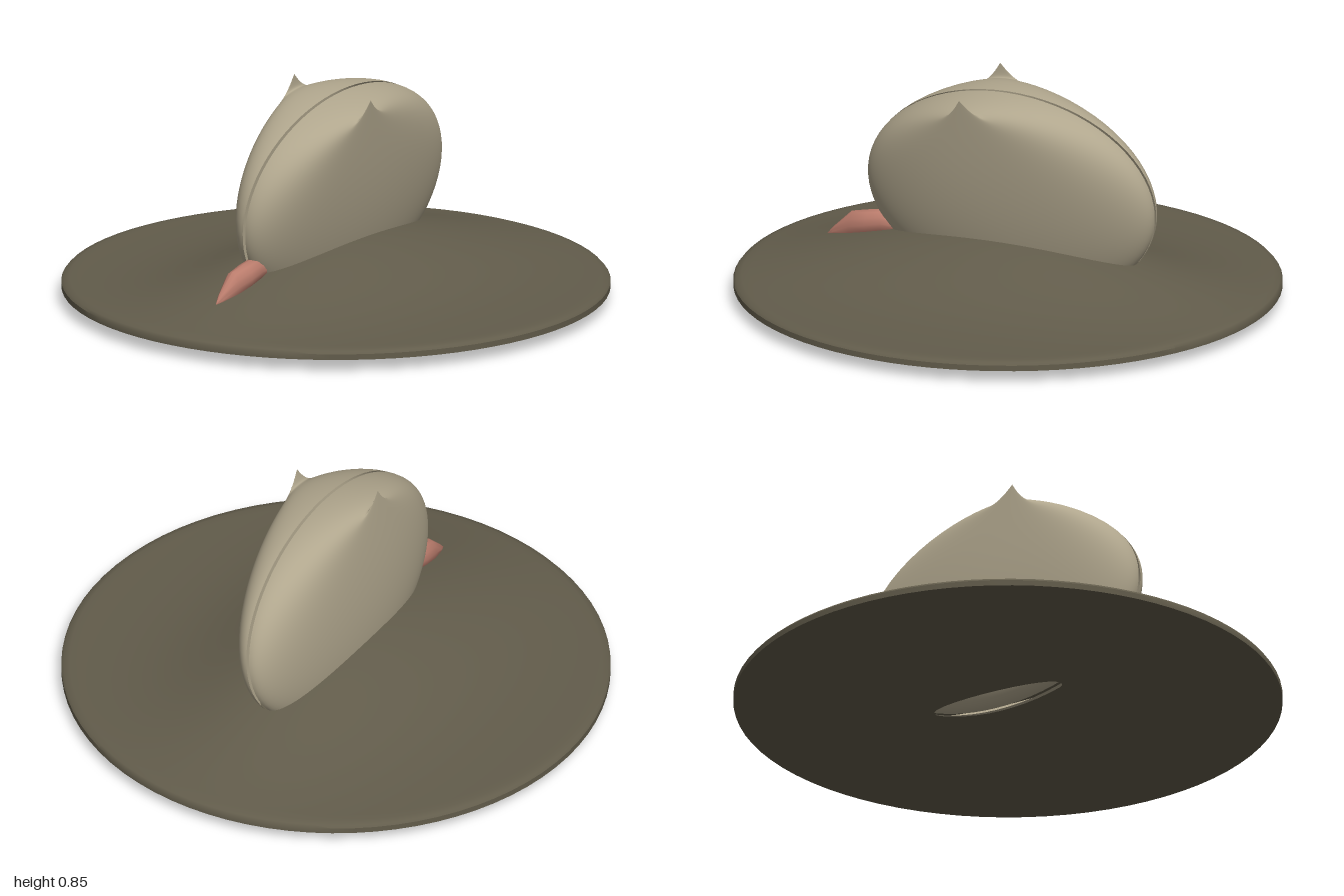
import * as THREE from 'three';
import { toCreasedNormals } from 'three/addons/utils/BufferGeometryUtils.js';

const mat = (name, color, side = THREE.FrontSide) => {
  const m = new THREE.MeshStandardMaterial({ color, side });
  m.name = name;
  return m;
};

// Surface of rings: point(i, j) gives [x, y, z]; each ring closes on itself.
function ringSurface(rows, cols, point, flip) {
  const pos = [], index = [];
  for (let i = 0; i <= rows; i++)
    for (let j = 0; j < cols; j++) pos.push(...point(i / rows, (j / cols) * Math.PI * 2));
  for (let i = 0; i < rows; i++)
    for (let j = 0; j < cols; j++) {
      const k = (j + 1) % cols;
      const a = i * cols + j, b = i * cols + k, c = a + cols, d = b + cols;
      index.push(...(flip ? [a, d, c, a, b, d] : [a, c, d, a, d, b]));
    }
  const g = new THREE.BufferGeometry();
  g.setAttribute('position', new THREE.Float32BufferAttribute(pos, 3));
  g.setIndex(index);
  g.computeVertexNormals();
  return g;
}

// One half of the shell: rings shrink from the oval rim towards a pointed beak.
function valveGeometry(side) {
  const beakY = 0.76, beakZ = 0.09;
  return ringSurface(32, 72, (u, t) => {
    const s = Math.sin(u * Math.PI / 2);
    const rimZ = -0.02 + 0.575 * Math.cos(t), rimY = 0.403 + 0.403 * Math.sin(t);
    const peak = Math.pow(1 - s, 8);
    return [
      side * (0.006 + 0.163 * Math.cos(u * Math.PI / 2) + 0.006 * peak),
      beakY + (rimY - beakY) * s + 0.07 * peak,
      beakZ + (rimZ - beakZ) * s,
    ];
  }, side > 0);
}

// Sand disc with an oval mound rising in the middle.
function sandGeometry() {
  const pts = [[0, 0.045], [1, 0.045], [1, 0.066], [0.992, 0.075], [0.97, 0.079]]
    .map(([x, y]) => new THREE.Vector2(x, y));
  for (let i = 31; i >= 0; i--) pts.push(new THREE.Vector2((i / 32) * 0.97, 0.079));
  const g = new THREE.LatheGeometry(pts, 80);
  const p = g.attributes.position;
  for (let i = 0; i < p.count; i++) {
    if (p.getY(i) < 0.06) continue;
    const x = p.getX(i), z = p.getZ(i), r = Math.hypot(x, z);
    const mound = Math.exp(-(x * x) / 0.157 - (z * z) / 0.56);
    p.setY(i, p.getY(i) + 0.176 * mound * Math.max(0, 1 - r ** 6));
  }
  return toCreasedNormals(g, 0.7);
}

// Fleshy foot: cross-sections [z, centre y, half width, half height].
function footGeometry() {
  const sections = [
    [0.45, 0.212, 0, 0], [0.45, 0.212, 0.028, 0.03], [0.5, 0.215, 0.04, 0.047],
    [0.56, 0.202, 0.042, 0.05], [0.63, 0.185, 0.034, 0.052],
    [0.7, 0.15, 0.014, 0.02], [0.73, 0.136, 0, 0],
  ];
  const g = ringSurface(sections.length - 1, 12, (u, t) => {
    const [z, y, w, h] = sections[Math.round(u * (sections.length - 1))];
    return [w * Math.cos(t), y + h * Math.sin(t), z];
  }, true);
  return toCreasedNormals(g, 0.8);
}

export function createModel() {
  const model = new THREE.Group();
  const shellMat = mat('shell beige', 0xb0a68d, THREE.DoubleSide);
  const sandMat = mat('dark sand', 0x625c4b);
  const footMat = mat('foot pink', 0xba7c6c);
  const add = (parent, name, geometry, material) => {
    const m = new THREE.Mesh(geometry, material);
    m.name = name;
    parent.add(m);
    return m;
  };

  add(model, 'sandDisc', sandGeometry(), sandMat);

  // Shell leaning slightly to one side, with a narrow gap between its halves.
  const shell = new THREE.Group();
  shell.name = 'shell';
  shell.position.set(-0.048, 0, 0);
  shell.rotation.z = -0.12;
  add(shell, 'leftValve', valveGeometry(1), shellMat);
  add(shell, 'rightValve', valveGeometry(-1), shellMat);
  model.add(shell);

  add(model, 'foot', footGeometry(), footMat);
  return model;
}
